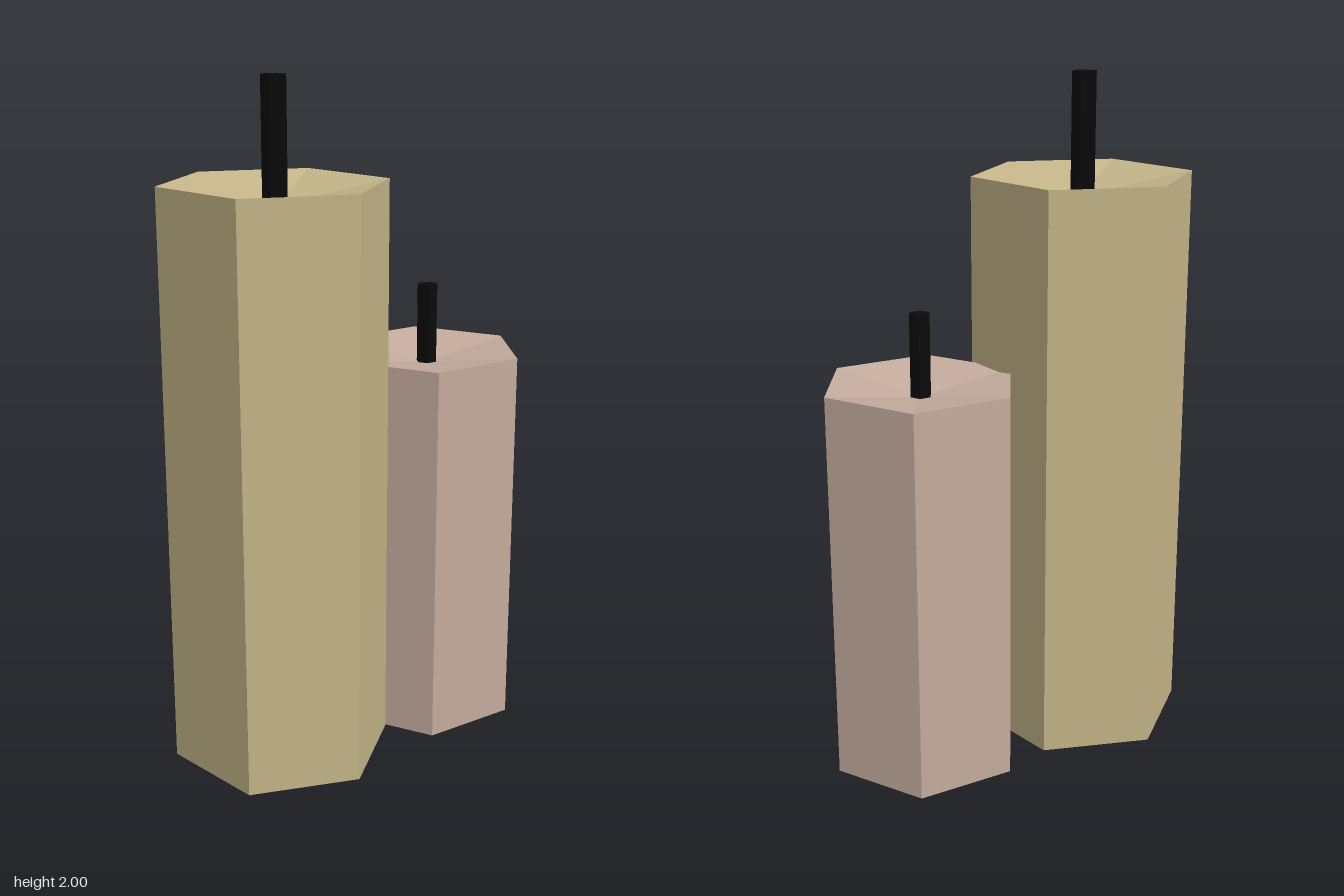
import * as THREE from 'three';

function makeMaterial(name, color) {
  const m = new THREE.MeshStandardMaterial({ color, flatShading: true, side: THREE.DoubleSide });
  m.name = name;
  return m;
}

// Six-sided solid turned from a profile of [radius, height] points
function hexLathe(profile, turn, material, name) {
  const points = profile.map(([r, y]) => new THREE.Vector2(r, y));
  const mesh = new THREE.Mesh(new THREE.LatheGeometry(points, 6, turn), material);
  mesh.name = name;
  return mesh;
}

// Open-bottomed wax body with a dished top, and a wick rising from the dish
function makeCandle(name, { x, z, radius, height, dish, wickRadius, wickTop, turn }, wax, wick) {
  const candle = new THREE.Group();
  candle.name = name;
  const floor = height - dish;
  candle.add(
    hexLathe([[radius, 0], [radius, height], [0, floor]], turn, wax, 'waxBody'),
    hexLathe([[wickRadius, floor - 0.01], [wickRadius, wickTop], [0, wickTop]], turn, wick, 'wick'),
  );
  candle.position.set(x, 0, z);
  return candle;
}

export function createModel() {
  const cream = makeMaterial('creamWax', 0xc4b588);
  const pink = makeMaterial('pinkWax', 0xc4ab9d);
  const black = makeMaterial('blackWick', 0x0a0a0a);

  const model = new THREE.Group();
  model.name = 'candles';
  model.add(
    makeCandle('tallCandle', {
      x: -0.143, z: 0.193, radius: 0.329, height: 1.71, dish: 0.065,
      wickRadius: 0.036, wickTop: 2, turn: 0.116,
    }, cream, black),
    makeCandle('shortCandle', {
      x: 0.153, z: -0.26, radius: 0.293, height: 1.163, dish: 0.044,
      wickRadius: 0.032, wickTop: 1.363, turn: 0.442,
    }, pink, black),
  );
  return model;
}
